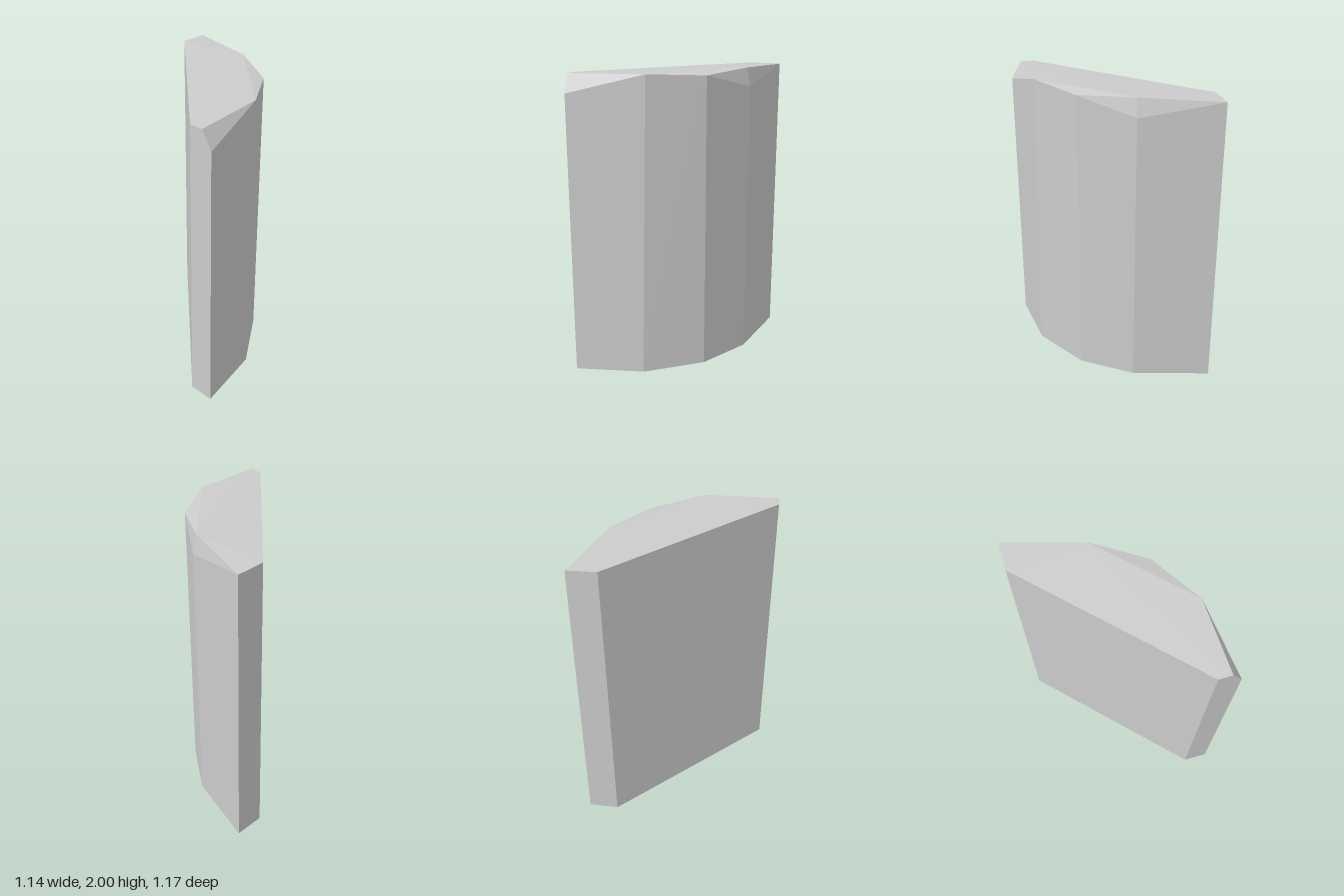
import * as THREE from 'three';
import { ConvexGeometry } from 'three/addons/geometries/ConvexGeometry.js';

export function createModel() {
  const group = new THREE.Group();
  group.name = 'stoneShard';
  const stone = new THREE.MeshStandardMaterial({ color: 0xcccccc });
  stone.name = 'paleGreyStone';

  // footprint: straight diagonal front, faceted curved back
  const base = [
    [-0.57, 0, -0.386], [-0.57, 0, -0.587], [-0.055, 0, -0.461], [0.272, 0, -0.239],
    [0.504, 0, 0.13], [0.57, 0, 0.587], [0.402, 0, 0.587],
  ];
  // lower corners of the chipped edges
  const chips = [[-0.055, 1.88, -0.461], [0.57, 1.88, 0.587]];
  // slightly uneven top rim
  const rim = [
    [-0.57, 1.985, -0.395], [-0.57, 1.98, -0.587], [-0.06, 2, -0.434], [0.27, 1.98, -0.239],
    [0.478, 2, 0.098], [0.503, 1.997, 0.587], [0.414, 1.995, 0.587],
  ];

  const points = [...base, ...chips, ...rim].map((p) => new THREE.Vector3(...p));
  const slab = new THREE.Mesh(new ConvexGeometry(points), stone);
  slab.name = 'chippedSlab';
  group.add(slab);
  return group;
}
